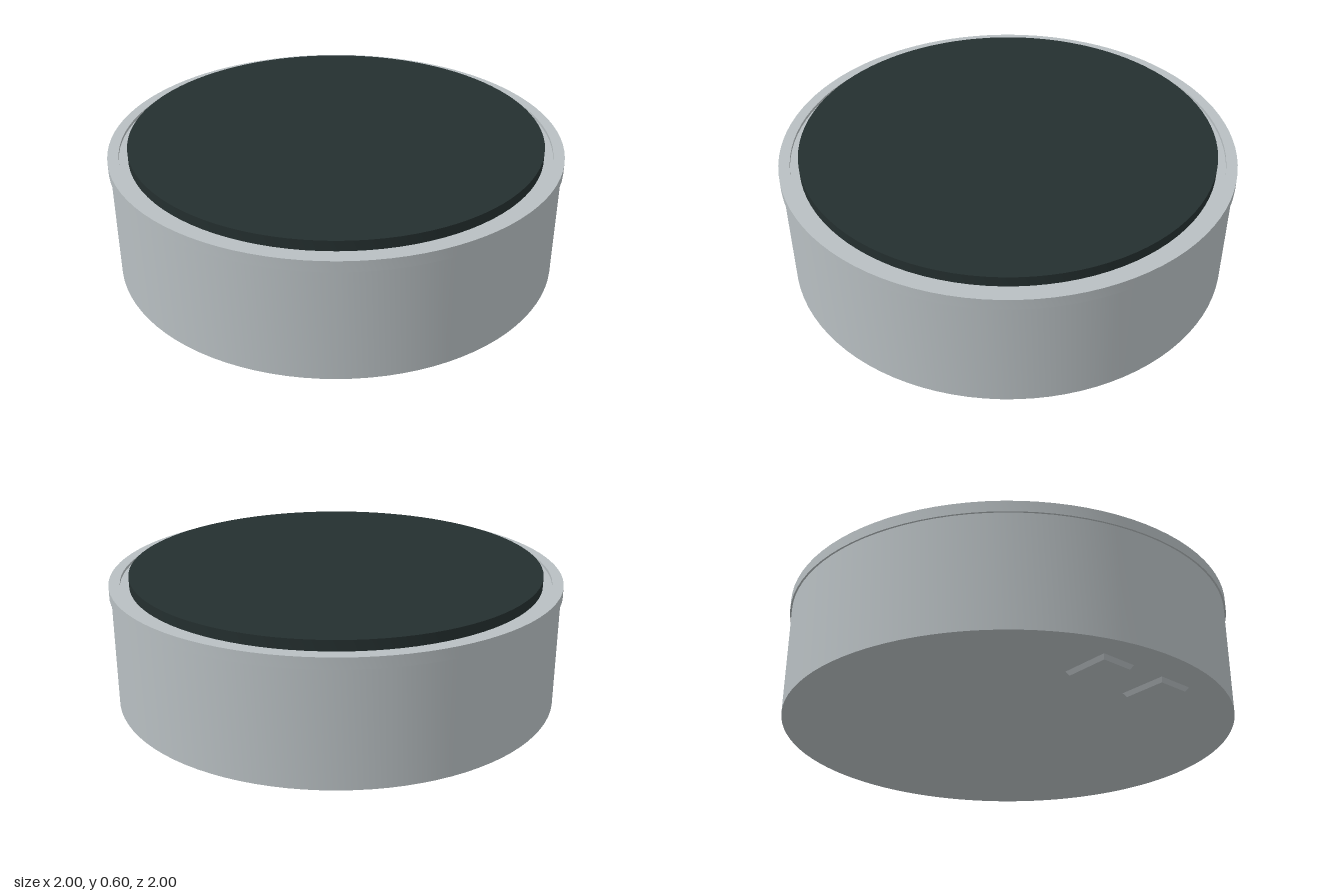
import * as THREE from 'three';
import { toCreasedNormals } from 'three/addons/utils/BufferGeometryUtils.js';

const SEGMENTS = 96;

export function createModel() {
  const model = new THREE.Group();
  const silver = new THREE.MeshStandardMaterial({ name: 'silver', color: 0xb8bfc2 });
  const darkGlass = new THREE.MeshStandardMaterial({ name: 'darkGlass', color: 0x242f2f });

  const add = (name, geometry, material) => {
    const mesh = new THREE.Mesh(geometry, material);
    mesh.name = name;
    model.add(mesh);
    return mesh;
  };
  // Turned part with crisp edges, profile given as [radius, height]
  const turned = (profile) => toCreasedNormals(
    new THREE.LatheGeometry(profile.map(([r, y]) => new THREE.Vector2(r, y)), SEGMENTS), 0.5);

  // Drum with closed underside, overhanging lip and recessed ledge
  add('housing', turned([
    [0, 0.018], [0.992, 0.018], [0.992, 0.517], [1, 0.517],
    [1, 0.565], [0.952, 0.565], [0.952, 0.552], [0.9, 0.552],
  ]), silver);

  // Raised dark disc on top
  add('topPanel', turned([[0.913, 0.55], [0.913, 0.597], [0, 0.597]]), darkGlass);

  // Two bevelled pads under the front
  for (const side of [-1, 1]) {
    const pad = new THREE.BoxGeometry(0.165, 0.02, 0.215);
    const p = pad.attributes.position;
    for (let i = 0; i < p.count; i++) {
      if (p.getY(i) < 0) {
        p.setX(i, p.getX(i) - Math.sign(p.getX(i)) * 0.013);
        p.setZ(i, p.getZ(i) - Math.sign(p.getZ(i)) * 0.013);
      }
    }
    pad.computeVertexNormals();
    add(side > 0 ? 'leftFootPad' : 'rightFootPad', pad, silver)
      .position.set(side * 0.16, 0.01, 0.738);
  }

  return model;
}
